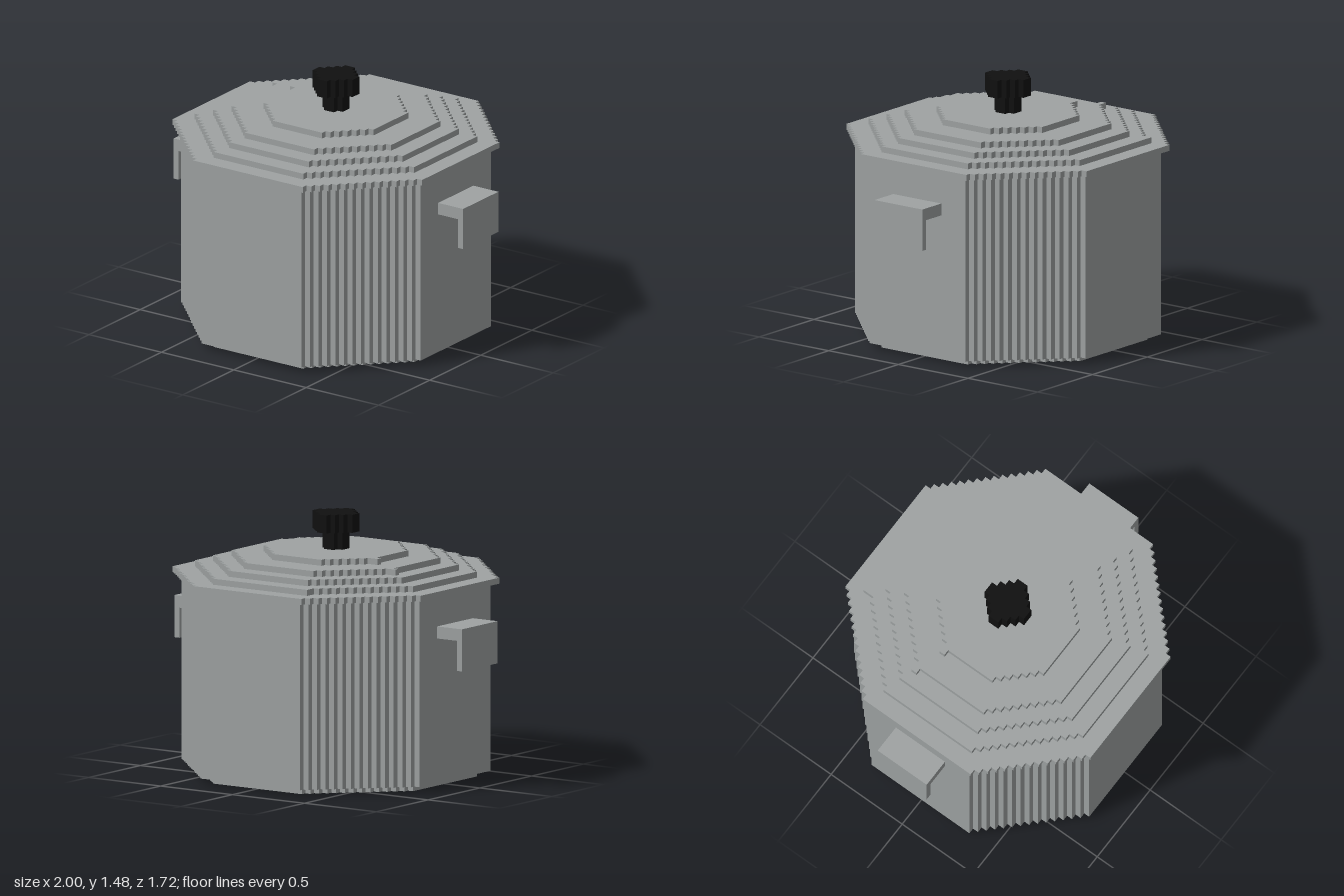
import * as THREE from 'three';

const V = 2 / 58; // edge length of one voxel

// Stepped octagon outline: half width n, half length f of each straight side
function steppedOctagon(n, f) {
  const pts = [];
  for (let q = 0; q < 4; q++) {
    const turn = (x, y) => {
      for (let i = 0; i < q; i++) [x, y] = [-y, x];
      pts.push(new THREE.Vector2(x * V, y * V));
    };
    for (let k = 0; k <= n - f; k++) {
      turn(n - k, f + k);
      if (k < n - f) turn(n - k - 1, f + k);
    }
  }
  return new THREE.Shape(pts);
}

export function createModel() {
  const metal = new THREE.MeshStandardMaterial({ color: 0x9fa3a3 });
  metal.name = 'grey metal';
  const black = new THREE.MeshStandardMaterial({ color: 0x101010 });
  black.name = 'black plastic';

  const model = new THREE.Group();
  model.name = 'cookingPot';

  const add = (name, geometry, material, parent) => {
    const mesh = new THREE.Mesh(geometry, material);
    mesh.name = name;
    parent.add(mesh);
    return mesh;
  };
  const group = (name) => {
    const g = new THREE.Group();
    g.name = name;
    model.add(g);
    return g;
  };

  // Slab and box helpers, measured in voxels
  const slab = (name, n, f, y0, y1, material, parent) => {
    const geo = new THREE.ExtrudeGeometry(steppedOctagon(n, f), { depth: (y1 - y0) * V, bevelEnabled: false });
    geo.rotateX(-Math.PI / 2);
    add(name, geo, material, parent).position.y = y0 * V;
  };
  const box = (name, x0, x1, y0, y1, z0, z1, parent) => {
    const geo = new THREE.BoxGeometry((x1 - x0) * V, (y1 - y0) * V, (z1 - z0) * V);
    add(name, geo, metal, parent).position.set((x0 + x1) / 2 * V, (y0 + y1) / 2 * V, (z0 + z1) / 2 * V);
  };

  // Pot
  const pot = group('pot');
  slab('base', 22, 9, 0, 1, metal, pot);
  slab('body', 24, 10, 1, 32, metal, pot);

  // Lid: rim and four shrinking terraces
  const lid = group('lid');
  slab('lidRim', 25, 11, 32, 33, metal, lid);
  [[22, 9], [19, 8], [16, 7], [11, 5]].forEach(([n, f], i) =>
    slab('lidTerrace' + (i + 1), n, f, 33 + i, 34 + i, metal, lid));

  // Single stray blocks on the terrace edges
  box('lidNotch', -10, -9, 33, 34, -22, -21, lid);
  box('lidNotch', -17, -16, 35, 36, -7, -6, lid);
  box('lidNotch', -12, -11, 36, 37, -5, -4, lid);

  // Knob
  const knob = group('knob');
  slab('knobStem', 2, 1, 37, 40, black, knob);
  slab('knobCap', 4, 1, 40, 43, black, knob);

  // Side handles: a shelf with a downturned grip
  for (const [side, s] of [['left', 1], ['right', -1]]) {
    const handle = group(side + 'Handle');
    const sorted = (a, b) => (s > 0 ? [a, b] : [-b, -a]);
    box('handleShelf', ...sorted(24, 28), 25, 27, -5, 5, handle);
    box('handleGrip', ...sorted(28, 29), 20, 27, -5, 5, handle);
  }

  return model;
}
